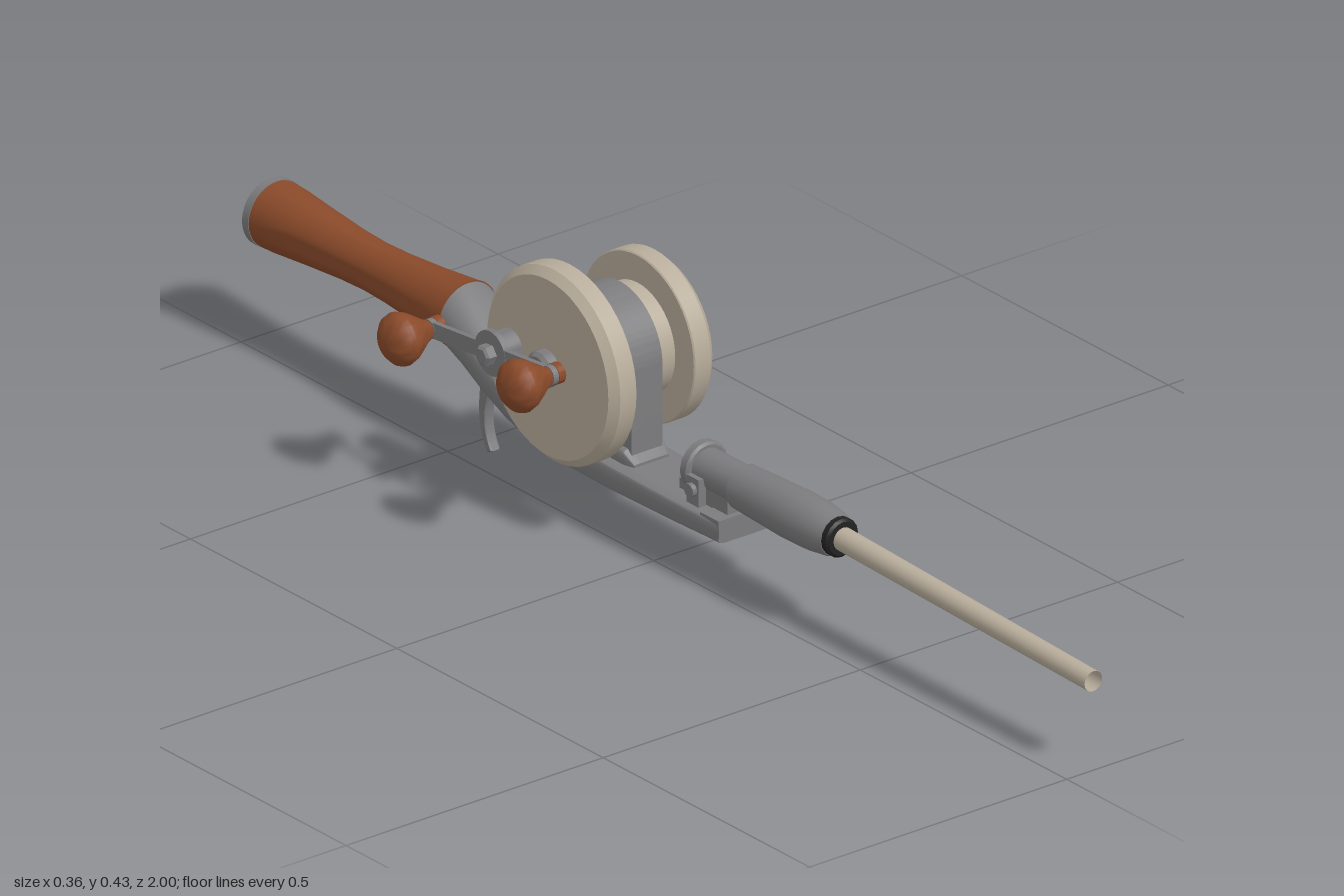
import * as THREE from 'three';
import { toCreasedNormals } from 'three/addons/utils/BufferGeometryUtils.js';

const CX = 0.052; // centre plane of the rod
const REEL = { y: 0.272, z: -0.185 };

function material(name, color, side = THREE.FrontSide) {
  const m = new THREE.MeshStandardMaterial({ color, side });
  m.name = name;
  return m;
}

// Turned part: profile points are [radius, position along axis], ascending
function turned(profile, axis, sides = 32) {
  const pts = profile.map(([r, t]) => new THREE.Vector2(r, t));
  const g = new THREE.LatheGeometry(pts, sides);
  if (axis === 'x') g.rotateZ(-Math.PI / 2);
  if (axis === 'z') g.rotateX(Math.PI / 2);
  return toCreasedNormals(g, 0.6);
}

const disc = (r, a, b, bevelA = 0, bevelB = 0) => [
  [0, a], [r - bevelA, a], [r, a + bevelA], [r, b - bevelB], [r - bevelB, b], [0, b],
];

// Loft of rounded sections, each [z, bottom, top, half width, squareness], z descending
function loft(sections, n = 32) {
  const pos = [], idx = [];
  const power = (v, e) => Math.sign(v) * Math.abs(v) ** (2 / e);
  for (const [z, bottom, top, w, e] of sections) {
    for (let i = 0; i < n; i++) {
      const a = (i / n) * Math.PI * 2;
      pos.push(CX + w * power(Math.cos(a), e), (top + bottom) / 2 + ((top - bottom) / 2) * power(Math.sin(a), e), z);
    }
  }
  const last = (sections.length - 1) * n;
  for (let s = 0; s < last; s += n) {
    for (let i = 0; i < n; i++) {
      const j = (i + 1) % n;
      idx.push(s + i, s + n + i, s + j, s + j, s + n + i, s + n + j);
    }
  }
  for (let i = 1; i < n - 1; i++) idx.push(0, i, i + 1, last, last + i + 1, last + i);
  const g = new THREE.BufferGeometry();
  g.setAttribute('position', new THREE.Float32BufferAttribute(pos, 3));
  g.setIndex(idx);
  return toCreasedNormals(g, 0.6);
}

export function createModel() {
  const metal = material('grey metal', 0x7c7c7e);
  const wood = material('brown wood', 0x8a4a2a);
  const cream = material('cream', 0xb8ad9b);
  const creamTube = material('cream tube', 0xb8ad9b, THREE.DoubleSide);
  const dark = material('dark rubber', 0x222222);

  const model = new THREE.Group();
  model.name = 'fishingRod';
  const add = (name, geometry, mat, x = 0, y = 0, z = 0, parent = model) => {
    const mesh = new THREE.Mesh(geometry, mat);
    mesh.name = name;
    mesh.position.set(x, y, z);
    parent.add(mesh);
    return mesh;
  };
  const box = (name, w, h, d, x, y, z, parent) =>
    add(name, new THREE.BoxGeometry(w, h, d), metal, x, y, z, parent);

  // Hollow rod, dipping slightly toward the tip
  const rod = new THREE.CylinderGeometry(0.017, 0.019, 0.64, 20, 1, true).rotateX(Math.PI / 2);
  add('rod', rod, creamTube, CX, 0.157, 0.68).rotation.x = 0.027;

  // Socket that grips the rod
  add('socket', turned([
    [0, 0.05], [0.032, 0.05], [0.032, 0.15], [0.037, 0.155], [0.039, 0.2],
    [0.042, 0.28], [0.041, 0.33], [0.036, 0.37], [0.033, 0.38], [0, 0.38],
  ], 'z', 16), metal, CX, 0.165);
  add('socketRing', turned(disc(0.032, 0.37, 0.394, 0, 0.004), 'z', 16), dark, CX, 0.165);

  // Clamp between the socket and the seat
  add('clampCollar', turned(disc(0.041, 0.045, 0.066, 0.004, 0.004), 'z', 16), metal, CX, 0.165);
  box('clampPost', 0.05, 0.06, 0.09, CX, 0.135, 0.1);
  box('clampBlock', 0.1, 0.035, 0.045, CX, 0.103, 0.132);
  box('clampCatch', 0.04, 0.026, 0.035, CX, 0.125, 0.04);
  for (const s of [-1, 1]) {
    box('clampJaw', 0.014, 0.05, 0.03, CX + s * 0.034, 0.14, 0.08);
    add('clampScrew', turned(disc(0.011, -0.006, 0.006), 'x', 12), metal, CX + s * 0.043, 0.145, 0.08);
  }

  // Flat seat sweeping up into the handle
  add('seat', loft([
    [0.155, 0.082, 0.118, 0.05, 8], [0.06, 0.081, 0.12, 0.054, 8],
    [-0.1, 0.08, 0.124, 0.058, 8], [-0.24, 0.081, 0.129, 0.058, 7],
    [-0.3, 0.087, 0.145, 0.058, 5], [-0.36, 0.098, 0.17, 0.058, 3.5],
    [-0.42, 0.116, 0.204, 0.057, 2.7], [-0.47, 0.135, 0.238, 0.057, 2.2],
    [-0.518, 0.15, 0.262, 0.056, 2],
  ]), metal);

  // Handle grip and end cap
  const grip = [[0, -0.98], [0.055, -0.98], [0.054, -0.95], [0.048, -0.88], [0.042, -0.8], [0.04, -0.74],
    [0.042, -0.68], [0.048, -0.6], [0.055, -0.53], [0.057, -0.515], [0, -0.515]];
  add('grip', turned(grip, 'z'), wood, CX, 0.206);
  add('endCap', turned(disc(0.056, -1, -0.978, 0.007), 'z'), metal, CX, 0.206);

  // Curved finger trigger: crescent outline in the side plane
  const outline = new THREE.Shape();
  outline.moveTo(-0.435, 0.135);
  outline.quadraticCurveTo(-0.485, 0.06, -0.45, 0.004);
  outline.lineTo(-0.458, 0);
  outline.quadraticCurveTo(-0.492, 0.05, -0.465, 0.145);
  const trigger = new THREE.ExtrudeGeometry(outline, {
    depth: 0.012, bevelEnabled: true, bevelSize: 0.002, bevelThickness: 0.003, bevelSegments: 1, curveSegments: 10,
  });
  trigger.translate(0, 0, -0.006).rotateY(-Math.PI / 2);
  add('trigger', toCreasedNormals(trigger, 0.6), metal, CX, 0.002, 0);

  // Reel
  const reel = new THREE.Group();
  reel.name = 'reel';
  reel.position.set(0, REEL.y, REEL.z);
  model.add(reel);
  const reelPart = (name, profile, mat, sides = 48) => add(name, turned(profile, 'x', sides), mat, 0, 0, 0, reel);
  reelPart('spool', disc(0.091, -0.014, 0.119), cream);
  reelPart('largeSidePlate', disc(0.16, -0.058, -0.012, 0.013, 0.002), cream);
  reelPart('smallSidePlate', disc(0.138, 0.117, 0.162, 0.002, 0.013), cream);
  reelPart('leftHub', disc(0.03, 0.16, 0.18, 0, 0.006), metal, 24);
  reelPart('rightHub', disc(0.03, -0.08, -0.056, 0.006), metal, 24);

  // Strap arching over the spool, with straight sides down to the seat
  const strap = new THREE.Shape();
  strap.moveTo(0.104, -0.15);
  strap.lineTo(0.104, 0);
  strap.absarc(0, 0, 0.104, 0, Math.PI, false);
  strap.lineTo(-0.104, -0.15);
  const strapGeo = new THREE.ExtrudeGeometry(strap, { depth: 0.06, bevelEnabled: false, curveSegments: 32 });
  strapGeo.translate(0, 0, -0.03).rotateY(-Math.PI / 2);
  add('strap', toCreasedNormals(strapGeo, 0.6), metal, CX, 0, 0, reel);
  add('reelFoot', loft([
    [-0.07, 0.12, 0.128, 0.034, 6], [-0.09, 0.115, 0.148, 0.04, 6],
    [-0.28, 0.115, 0.15, 0.04, 6], [-0.31, 0.12, 0.146, 0.036, 6],
  ]), metal);

  // Crank with a knob at each end
  const crank = new THREE.Group();
  crank.name = 'crank';
  crank.position.set(0, 0.274, -0.28);
  crank.rotation.x = -0.095;
  model.add(crank);
  add('crankShaft', turned(disc(0.03, -0.088, -0.05), 'x', 24), metal, 0, 0, 0.005, crank);
  add('crankPlate', turned(disc(0.037, -0.098, -0.088), 'x', 24), metal, 0, 0, 0.005, crank);
  add('crankNut', turned(disc(0.017, -0.116, -0.096, 0.004), 'x', 6), metal, 0, 0, 0.005, crank);
  box('crankArm', 0.009, 0.026, 0.29, -0.093, 0, 0, crank);
  const knob = [[0, -0.183], [0.016, -0.181], [0.03, -0.174], [0.04, -0.164], [0.043, -0.153],
    [0.039, -0.14], [0.03, -0.125], [0.02, -0.11], [0.015, -0.099], [0, -0.099]];
  for (const s of [-1, 1]) {
    add('crankEnd', turned(disc(0.016, -0.098, -0.088), 'x', 20), metal, 0, 0, s * 0.145, crank);
    add('knob', turned(knob, 'x', 24), wood, 0, 0, s * 0.145, crank);
    add('knobPin', turned(disc(0.017, -0.088, -0.075), 'x', 16), wood, 0, 0, s * 0.145, crank);
  }
  return model;
}
